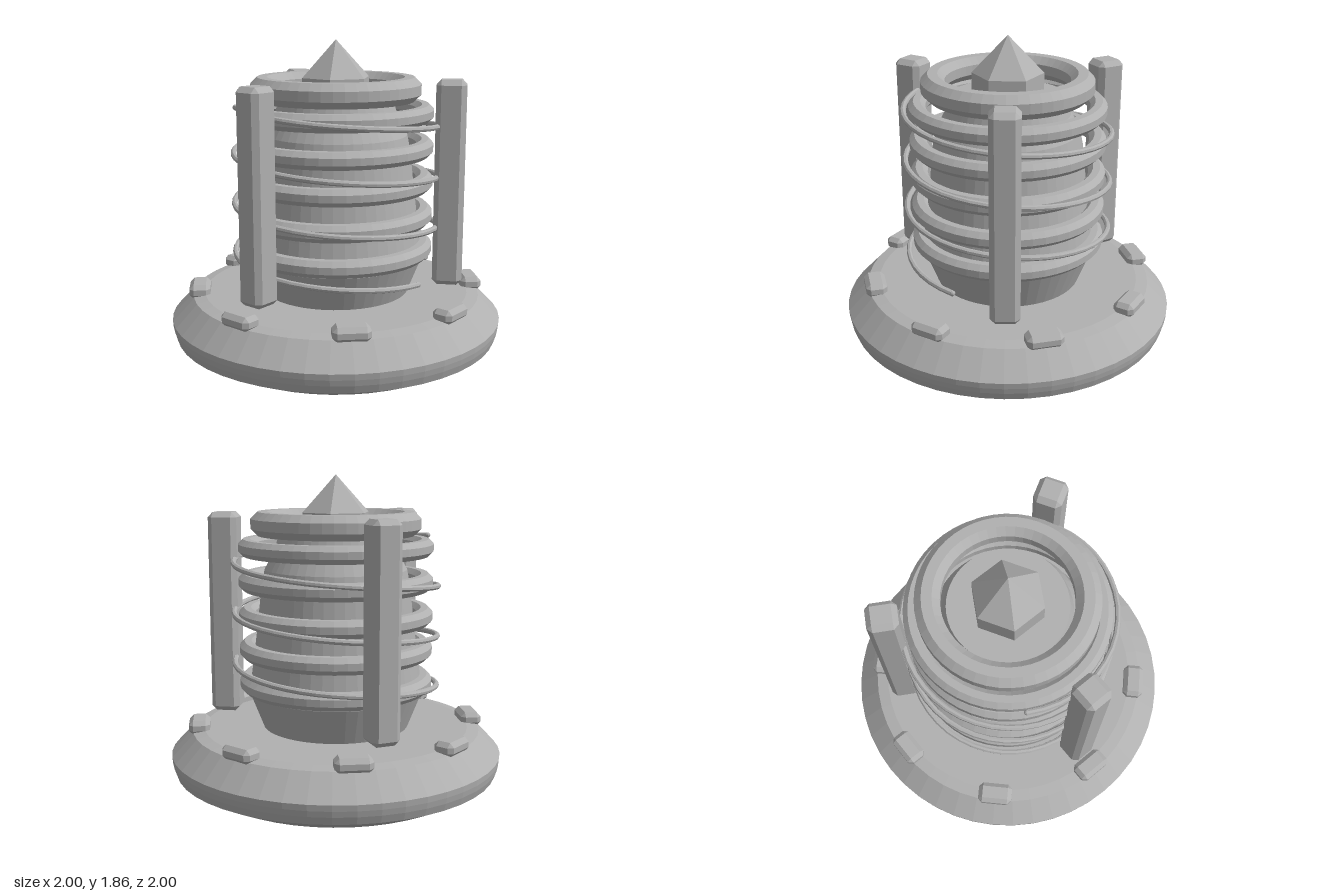
import * as THREE from 'three';
import { ConvexGeometry } from 'three/addons/geometries/ConvexGeometry.js';

const grey = new THREE.MeshStandardMaterial({ color: 0xb0b0b0 });
grey.name = 'plain grey';

// Give every face its own normal for a faceted look
function faceted(geometry) {
  const g = geometry.index ? geometry.toNonIndexed() : geometry;
  g.computeVertexNormals();
  return g;
}

function part(name, geometry, parent) {
  const mesh = new THREE.Mesh(faceted(geometry), grey);
  mesh.name = name;
  parent.add(mesh);
  return mesh;
}

// Turned shape from [radius, height] pairs, listed from bottom to top
function turned(profile, segments = 48, start = 0) {
  return new THREE.LatheGeometry(profile.map(([r, y]) => new THREE.Vector2(r, y)), segments, start);
}

// Ring with an octagonal section whose top and side are flat
function ring(outer, height, y) {
  const half = height / 2;
  const r = half / Math.cos(Math.PI / 8);
  const profile = [];
  for (let i = 0; i <= 8; i++) {
    const a = (i - 0.5) * Math.PI / 4;
    profile.push([outer - half + r * Math.cos(a), y + r * Math.sin(a)]);
  }
  return turned(profile);
}

// Box with every edge and corner cut off by c
function chamferedBox(w, h, d, c) {
  const points = [];
  for (const sx of [-0.5, 0.5]) for (const sy of [-0.5, 0.5]) for (const sz of [-0.5, 0.5]) {
    for (let axis = 0; axis < 3; axis++) {
      const size = [w, h, d].map((s, i) => (i === axis ? s : s - 2 * c));
      points.push(new THREE.Vector3(sx * size[0], sy * size[1], sz * size[2]));
    }
  }
  return new ConvexGeometry(points);
}

// Helical path climbing around the y axis, starting at +x
class Helix extends THREE.Curve {
  constructor(radius, bottom, pitch, turns) {
    super();
    Object.assign(this, { radius, bottom, pitch, turns });
  }
  getPoint(t, target = new THREE.Vector3()) {
    const a = t * this.turns * Math.PI * 2;
    return target.set(
      this.radius * Math.cos(a),
      this.bottom + this.pitch * this.turns * t,
      this.radius * Math.sin(a)
    );
  }
}

export function createModel() {
  const model = new THREE.Group();
  model.name = 'coilDevice';

  // Wide round base
  part('base', turned([
    [0, 0], [0.81, 0], [0.975, 0.085], [0.99, 0.13], [0.997, 0.165],
    [1, 0.2], [0.87, 0.335], [0.8, 0.348], [0, 0.348]
  ]), model);

  // Tapering core
  part('core', turned([
    [0, 0.33], [0.435, 0.33], [0.525, 0.56], [0.5, 0.74], [0.47, 0.97],
    [0.445, 1.2], [0.425, 1.3], [0.37, 1.4], [0.34, 1.5], [0, 1.5]
  ]), model);

  // Stacked rings and the thicker one on top
  const rings = new THREE.Group();
  rings.name = 'rings';
  model.add(rings);
  for (let i = 0; i < 5; i++) part('coreRing', ring(0.58, 0.1, 0.62 + i * 0.203), rings);
  part('topRing', ring(0.505, 0.14, 1.57), rings);

  // Six-sided crystal with its corners on the x axis
  part('crystal', turned([[0, 1.49], [0.21, 1.49], [0.21, 1.635], [0, 1.855]], 6, Math.PI / 2), model);

  // Wire spring with rounded ends
  const spring = new THREE.Group();
  spring.name = 'spring';
  model.add(spring);
  const wire = 0.017;
  const helix = new Helix(0.61, 0.482, 0.3, 10 / 3);
  part('springWire', new THREE.TubeGeometry(helix, 144, wire, 8), spring);
  for (const t of [0, 1]) {
    part('springEnd', new THREE.SphereGeometry(wire, 8, 6), spring).position.copy(helix.getPoint(t));
  }

  // Parts spread evenly around the axis, the first at the front
  function around(name, geometry, count, radius, y) {
    const group = new THREE.Group();
    group.name = name + 's';
    model.add(group);
    for (let i = 0; i < count; i++) {
      const a = i / count * Math.PI * 2;
      const mesh = part(name, geometry, group);
      mesh.position.set(radius * Math.sin(a), y, radius * Math.cos(a));
      mesh.rotation.y = a;
    }
  }
  around('post', chamferedBox(0.17, 1.22, 0.175, 0.03), 3, 0.68, 1.022);
  around('stud', chamferedBox(0.21, 0.085, 0.125, 0.026), 8, 0.83, 0.363);

  return model;
}
